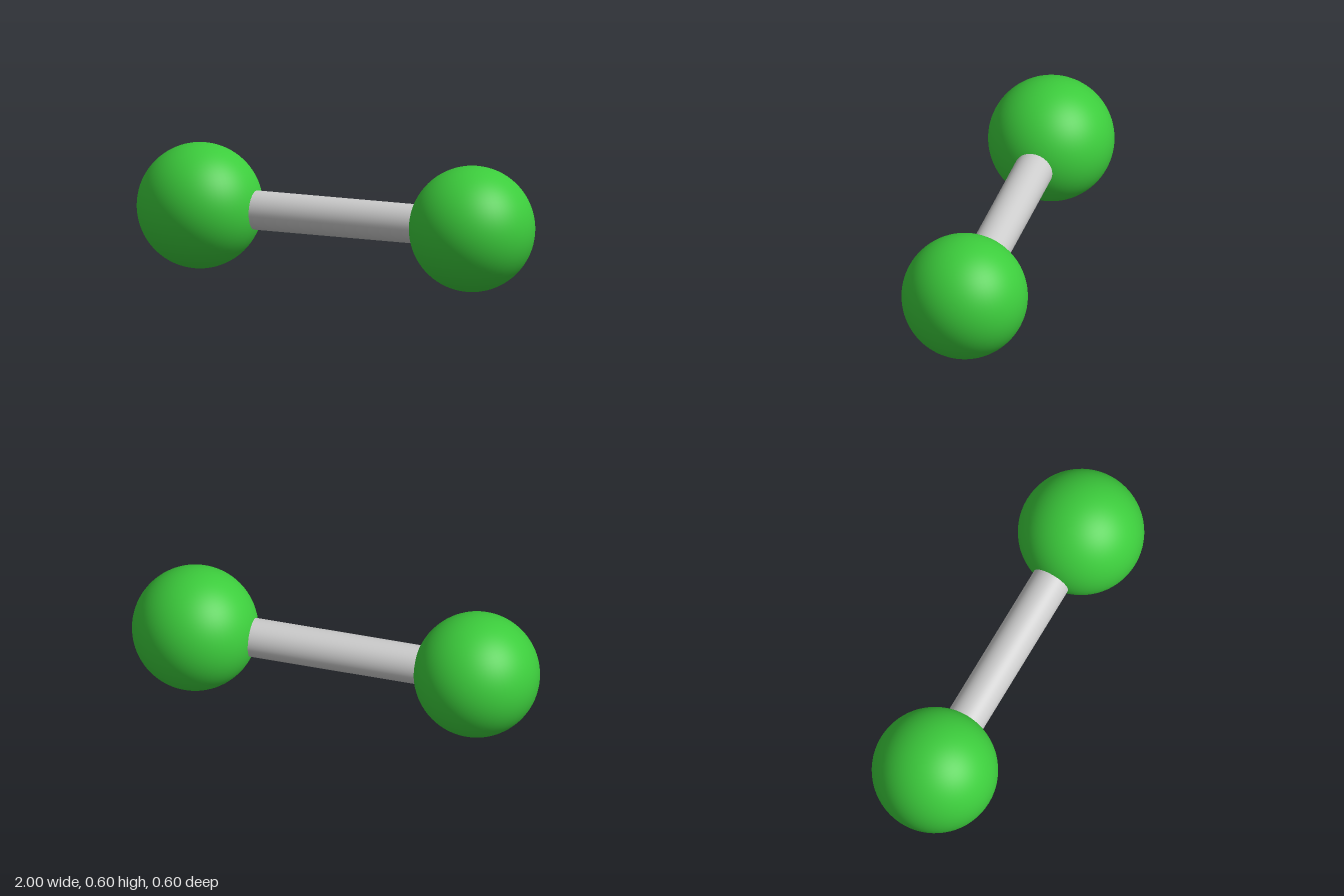
import * as THREE from 'three';

const BALL_RADIUS = 0.302;
const BALL_X = 1 - BALL_RADIUS;
const ROD_RADIUS = 0.094;

export function createModel() {
  const model = new THREE.Group();
  model.name = 'ballAndStick';

  const green = new THREE.MeshStandardMaterial({ color: 0x3ccc3c });
  const grey = new THREE.MeshStandardMaterial({ color: 0xcccccc });

  // Two equal balls, one at each end
  const ballGeometry = new THREE.SphereGeometry(BALL_RADIUS, 64, 40);
  for (const [name, side] of [['leftBall', 1], ['rightBall', -1]]) {
    const ball = new THREE.Mesh(ballGeometry, green);
    ball.name = name;
    ball.position.set(side * BALL_X, BALL_RADIUS, 0);
    model.add(ball);
  }

  // Rod running between the ball centres, its ends hidden inside them
  const rodGeometry = new THREE.CylinderGeometry(ROD_RADIUS, ROD_RADIUS, 2 * BALL_X, 48, 1, true);
  rodGeometry.rotateZ(Math.PI / 2);
  const rod = new THREE.Mesh(rodGeometry, grey);
  rod.name = 'connectingRod';
  rod.position.y = BALL_RADIUS;
  model.add(rod);

  return model;
}
